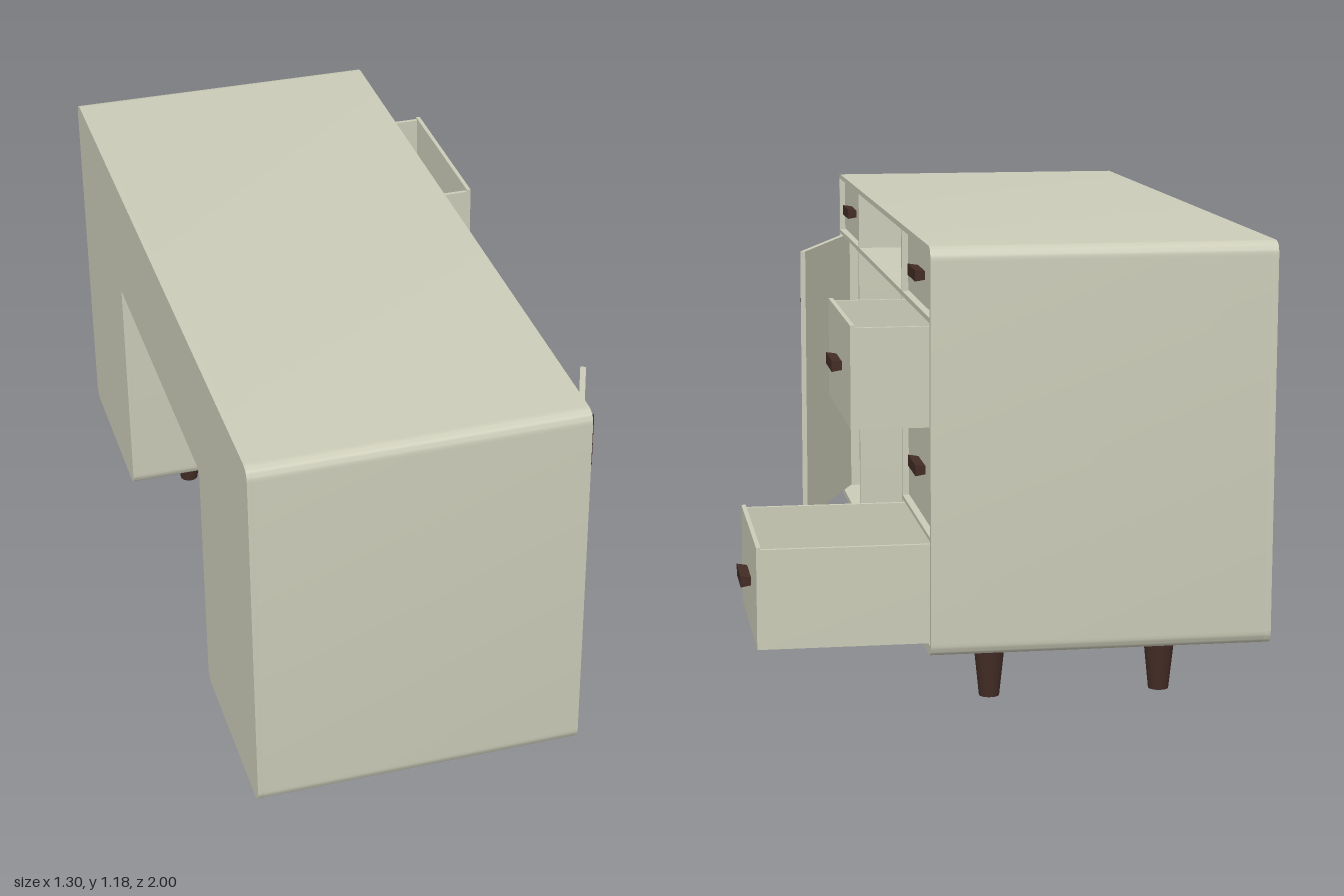
import * as THREE from 'three';
import { toCreasedNormals } from 'three/addons/utils/BufferGeometryUtils.js';

export function createModel() {
  const desk = new THREE.Group();
  desk.name = 'desk';

  const paint = new THREE.MeshStandardMaterial({ color: 0xcbcbb8 });
  paint.name = 'pale sage paint';
  const wood = new THREE.MeshStandardMaterial({ color: 0x432c25 });
  wood.name = 'dark wood';

  const BACK = -0.65, FRONT = 0.2, PANEL = 0.015;
  const BOTTOM = 0.178, TOP = 1.182, INNER = 0.472, R = 0.035;

  function add(parent, name, geometry, material, x = 0, y = 0, z = 0) {
    const mesh = new THREE.Mesh(geometry, material);
    mesh.name = name;
    mesh.position.set(x, y, z);
    parent.add(mesh);
    return mesh;
  }

  // Box given by its minimum and maximum corners
  function board(parent, name, [x0, y0, z0], [x1, y1, z1]) {
    return add(parent, name, new THREE.BoxGeometry(x1 - x0, y1 - y0, z1 - z0), paint,
      (x0 + x1) / 2, (y0 + y1) / 2, (z0 + z1) / 2);
  }

  // Two-pedestal outline; shape x runs along -z once extruded
  function outline(archY) {
    const s = new THREE.Shape();
    const corner = (cx, cy, x, y) => s.quadraticCurveTo(cx, cy, x, y);
    s.moveTo(-1 + R, BOTTOM);
    s.lineTo(-INNER - R, BOTTOM);
    corner(-INNER, BOTTOM, -INNER, BOTTOM + R);
    s.lineTo(-INNER, archY);
    s.lineTo(INNER, archY);
    s.lineTo(INNER, BOTTOM + R);
    corner(INNER, BOTTOM, INNER + R, BOTTOM);
    s.lineTo(1 - R, BOTTOM);
    corner(1, BOTTOM, 1, BOTTOM + R);
    s.lineTo(1, TOP - R);
    corner(1, TOP, 1 - R, TOP);
    s.lineTo(-1 + R, TOP);
    corner(-1, TOP, -1, TOP - R);
    s.lineTo(-1, BOTTOM + R);
    corner(-1, BOTTOM, -1 + R, BOTTOM);
    return s;
  }

  function opening(x0, x1, y0, y1) {
    return new THREE.Path([[x0, y0], [x0, y1], [x1, y1], [x1, y0]]
      .map(([x, y]) => new THREE.Vector2(x, y)));
  }

  function extrude(shape, depth) {
    const g = new THREE.ExtrudeGeometry(shape, { depth, bevelEnabled: false, curveSegments: 8 });
    g.rotateY(Math.PI / 2);
    return toCreasedNormals(g, 0.6);
  }

  // Carcass with its open bays, and the back panel that drops lower in the kneehole
  const shell = outline(0.998);
  const upper = [1.01, 1.168];
  shell.holes.push(
    opening(-0.984, -0.488, ...upper),
    opening(-0.984, -0.488, 0.195, 0.998),
    opening(-INNER, INNER, ...upper),
    opening(0.484, 0.984, ...upper),
    opening(0.484, 0.984, 0.743, 0.998),
    opening(0.484, 0.984, 0.475, 0.731),
    opening(0.484, 0.984, 0.205, 0.465)
  );
  add(desk, 'carcass', extrude(shell, FRONT - BACK - PANEL), paint, BACK + PANEL);
  add(desk, 'backPanel', extrude(outline(0.842), PANEL), paint, BACK);

  // Pull that flares outward from its base, pointing along +x
  function addHandle(parent, x, y, z, upright = false) {
    const g = new THREE.BoxGeometry(0.026, 0.028, 0.138);
    const p = g.attributes.position;
    for (let i = 0; i < p.count; i++) {
      if (p.getX(i) < 0) p.setXYZ(i, p.getX(i), p.getY(i) * 0.75, p.getZ(i) * 0.93);
    }
    g.computeVertexNormals();
    const handle = add(parent, 'handle', g, wood, x + 0.013, y, z);
    if (upright) handle.rotation.x = Math.PI / 2;
  }

  // Open-topped drawer whose front face sits at x
  function addDrawer(name, x, y0, y1, z0, z1) {
    const drawer = new THREE.Group();
    drawer.name = name;
    const t = 0.011, back = x - 0.78, rim = y1 - 0.006;
    board(drawer, 'drawerFront', [x - t, y0, z0], [x, y1, z1]);
    board(drawer, 'drawerBack', [back, y0, z0 + t], [back + t, rim, z1 - t]);
    board(drawer, 'drawerFloor', [back + t, y0, z0 + t], [x - t, y0 + t, z1 - t]);
    for (const z of [z0, z1 - t]) {
      board(drawer, 'drawerSide', [back, y0, z], [x - t, rim, z + t]);
    }
    addHandle(drawer, x, (y0 + y1) / 2, (z0 + z1) / 2);
    desk.add(drawer);
  }

  addDrawer('leftTopDrawer', 0.184, 1.013, 1.165, 0.491, 0.981);
  addDrawer('rightTopDrawer', 0.184, 1.013, 1.165, -0.981, -0.487);
  addDrawer('secondDrawer', 0.39, 0.745, 0.996, -0.98, -0.488);
  addDrawer('thirdDrawer', 0.184, 0.478, 0.729, -0.981, -0.487);
  addDrawer('bottomDrawer', 0.62, 0.21, 0.463, -0.978, -0.488);

  // Cabinet door, swung ajar on its outer edge
  const door = new THREE.Group();
  door.name = 'door';
  door.position.set(0.185, 0, 0.982);
  door.rotation.y = -0.378;
  board(door, 'doorPanel', [-PANEL, 0.198, -0.495], [0, 0.997, 0]);
  addHandle(door, 0, 0.842, -0.393, true);
  desk.add(door);

  // Tapered legs
  const legGeometry = new THREE.CylinderGeometry(0.045, 0.026, BOTTOM + 0.004, 24);
  for (const x of [-0.43, 0.012]) {
    for (const z of [-0.73, 0.735]) {
      add(desk, 'leg', legGeometry, wood, x, (BOTTOM + 0.004) / 2, z);
    }
  }

  return desk;
}
